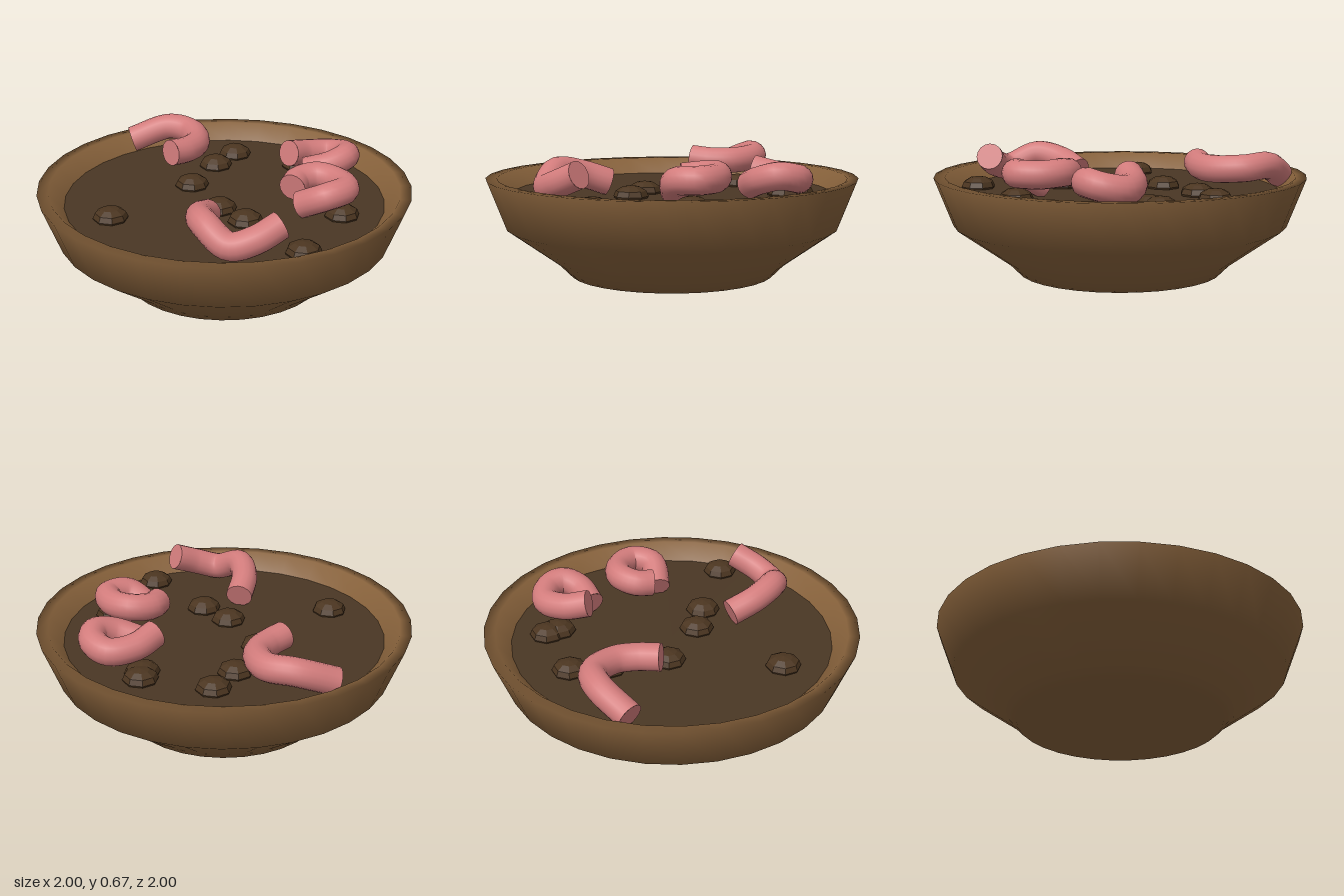
import * as THREE from 'three';

const bowlMat = new THREE.MeshStandardMaterial({ color: 0x85603a });
bowlMat.name = 'bowl brown';
const soilMat = new THREE.MeshStandardMaterial({ color: 0x4a3724 });
soilMat.name = 'soil brown';
const clodMat = new THREE.MeshStandardMaterial({ color: 0x4b3520, flatShading: true });
clodMat.name = 'clod brown';
const wormMat = new THREE.MeshStandardMaterial({ color: 0xd27c7c });
wormMat.name = 'worm pink';

const WORM_RADIUS = 0.073;
const SOIL_Y = 0.445;

function addMesh(parent, name, geometry, material) {
  const mesh = new THREE.Mesh(geometry, material);
  mesh.name = name;
  parent.add(mesh);
  return mesh;
}

// A bent tube closed by a flat disc at each end
function makeWorm(points) {
  const worm = new THREE.Group();
  worm.name = 'worm';
  const curve = new THREE.CatmullRomCurve3(points.map((p) => new THREE.Vector3(...p)));
  addMesh(worm, 'wormBody', new THREE.TubeGeometry(curve, 32, WORM_RADIUS, 16), wormMat);
  for (const t of [0, 1]) {
    const cap = addMesh(worm, 'wormEnd', new THREE.CircleGeometry(WORM_RADIUS, 16), wormMat);
    const outward = curve.getTangentAt(t).multiplyScalar(t === 0 ? -1 : 1);
    cap.position.copy(curve.getPointAt(t));
    cap.quaternion.setFromUnitVectors(new THREE.Vector3(0, 0, 1), outward);
  }
  return worm;
}

export function createModel() {
  const model = new THREE.Group();
  model.name = 'bowlOfWorms';

  // Bowl: closed base, flaring wall, flat rim, inner slope
  const profile = [
    [0, 0], [0.55, 0], [0.62, 0.07], [0.9, 0.27], [1, 0.53],
    [0.94, 0.53], [0.86, SOIL_Y], [0.8, 0.38],
  ].map(([x, y]) => new THREE.Vector2(x, y));
  addMesh(model, 'bowl', new THREE.LatheGeometry(profile, 32), bowlMat);

  // Soil surface
  const soil = addMesh(model, 'soil', new THREE.CircleGeometry(0.865, 32), soilMat);
  soil.rotation.x = -Math.PI / 2;
  soil.position.y = SOIL_Y;

  // Clods half sunk in the soil
  const clodGeometry = new THREE.SphereGeometry(0.093, 8, 6);
  const clods = [
    [-0.08, -0.62], [0.3, -0.6], [0.31, -0.53], [-0.15, -0.43], [-0.21, -0.12],
    [0.01, 0.155], [0.175, 0.275], [-0.515, 0.395], [0.53, 0.565], [0.65, 0.09],
  ];
  for (const [x, z] of clods) {
    const clod = addMesh(model, 'clod', clodGeometry, clodMat);
    clod.position.set(x, 0.455, z);
    clod.scale.y = 0.6;
    clod.rotation.y = Math.PI / 8;
  }

  // Worms lying on the soil
  const worms = [
    [[-0.68, 0.52, -0.545], [-0.48, 0.59, -0.62], [-0.34, 0.585, -0.59],
      [-0.265, 0.575, -0.45], [-0.29, 0.575, -0.33], [-0.36, 0.585, -0.23]],
    [[0.285, 0.59, -0.36], [0.36, 0.56, -0.47], [0.48, 0.55, -0.535], [0.58, 0.57, -0.48],
      [0.595, 0.585, -0.39], [0.52, 0.56, -0.32], [0.39, 0.52, -0.305]],
    [[0.38, 0.57, 0.06], [0.4, 0.58, -0.03], [0.49, 0.59, -0.085], [0.6, 0.585, -0.045],
      [0.66, 0.585, 0.06], [0.58, 0.575, 0.15], [0.435, 0.5, 0.115]],
    [[-0.01, 0.51, 0.35], [-0.01, 0.56, 0.5], [0.05, 0.585, 0.64],
      [0.19, 0.52, 0.72], [0.31, 0.55, 0.69], [0.42, 0.605, 0.605]],
  ];
  for (const points of worms) model.add(makeWorm(points));

  return model;
}
